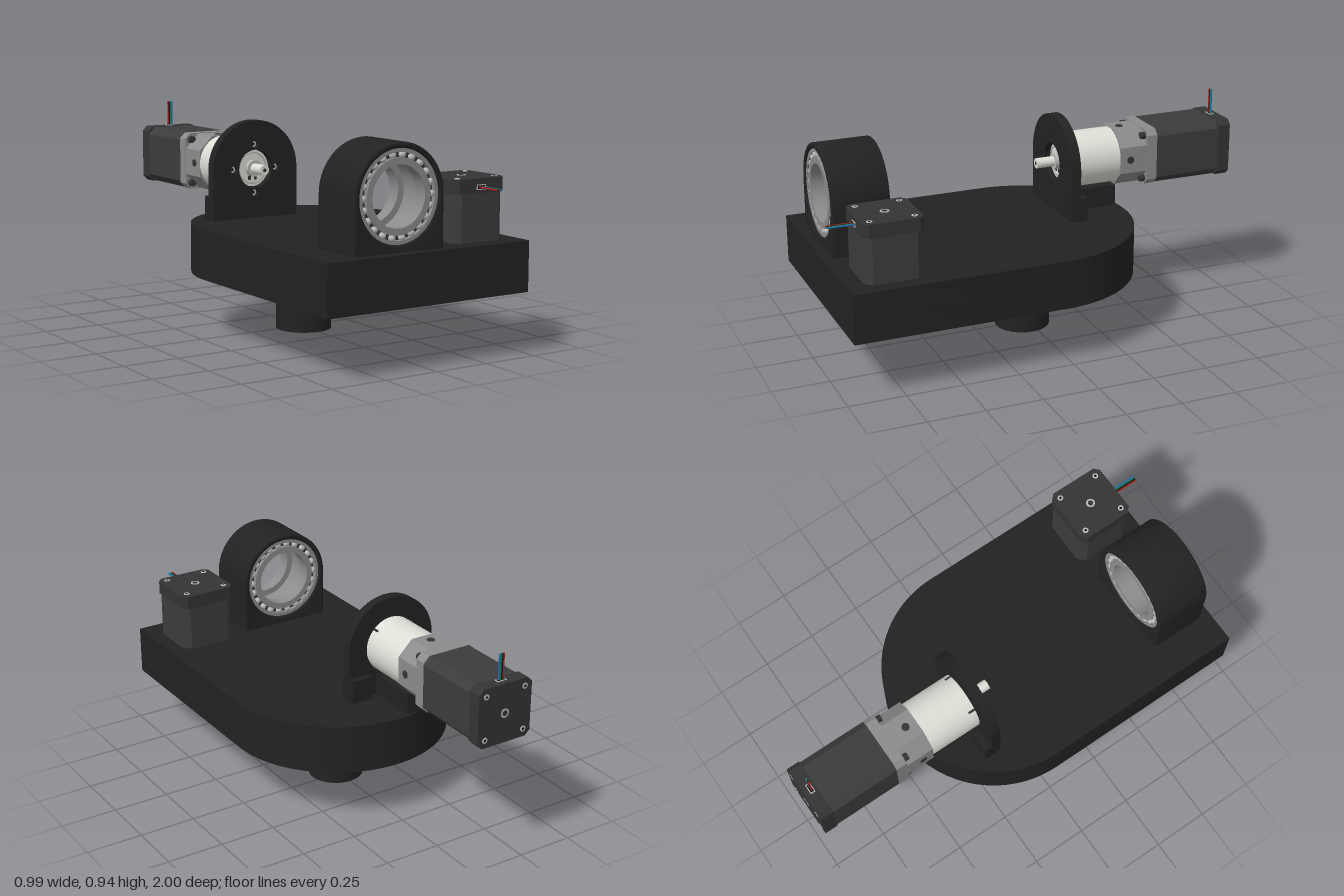
import * as THREE from 'three';
import { toCreasedNormals } from 'three/addons/utils/BufferGeometryUtils.js';

const paint = (color) => new THREE.MeshStandardMaterial({ color });
const black = paint(0x222222), dark = paint(0x3c3c3c), darker = paint(0x343434), hole = paint(0x0c0c0c);
const steel = paint(0x8c8c8c), silver = paint(0xb8b8b8), pale = paint(0xdeddd6);

function add(parent, name, geometry, material, x = 0, y = 0, z = 0) {
  const mesh = new THREE.Mesh(geometry, material);
  mesh.name = name;
  mesh.position.set(x, y, z);
  parent.add(mesh);
  return mesh;
}

const cyl = (r, h, n = 32) => new THREE.CylinderGeometry(r, r, h, n);
const box = (x, y, z) => new THREE.BoxGeometry(x, y, z);

function extrude(shape, depth, bevel = 0) {
  const g = new THREE.ExtrudeGeometry(shape, {
    depth: depth - 2 * bevel, curveSegments: 32, bevelEnabled: bevel > 0,
    bevelSize: bevel, bevelThickness: bevel, bevelOffset: -bevel, bevelSegments: 3,
  });
  g.translate(0, 0, bevel);
  return toCreasedNormals(g, 0.6);
}

// Round-ended outline: straight bottom at y0, half circle of radius r about y = cy
function arch(r, cy, y0, Kind = THREE.Shape) {
  const s = new Kind();
  s.moveTo(-r, y0);
  s.lineTo(r, y0);
  s.lineTo(r, cy);
  s.absarc(0, cy, r, 0, Math.PI, false);
  s.lineTo(-r, y0);
  return s;
}

function punch(shape, x, y, r) {
  const p = new THREE.Path();
  p.absarc(x, y, r, 0, Math.PI * 2, true);
  shape.holes.push(p);
}

// Square prism with cut corners, rising along +y from 0
function prism(size, cut, height) {
  const a = size / 2, b = a - cut;
  const pts = [[b, -a], [a, -b], [a, b], [b, a], [-b, a], [-a, b], [-a, -b], [-b, -a]];
  const s = new THREE.Shape(pts.map(([x, y]) => new THREE.Vector2(x, y)));
  return extrude(s, height).rotateX(-Math.PI / 2);
}

// Ring of rectangular section about the y axis
function ring(r0, r1, h) {
  const p = [[r0, -h / 2], [r1, -h / 2], [r1, h / 2], [r0, h / 2], [r0, -h / 2]];
  return toCreasedNormals(new THREE.LatheGeometry(p.map(([x, y]) => new THREE.Vector2(x, y)), 64), 0.6);
}

const corners = [[1, 1], [1, -1], [-1, 1], [-1, -1]];

// Square motor: output face at y = 0, tail at y = length, cable on +z
function stepper(name, length) {
  const g = new THREE.Group();
  g.name = name;
  const S = 0.26, cap = 0.06;
  add(g, 'motorBody', prism(S - 0.004, 0.032, length - cap), dark);
  add(g, 'motorCap', prism(S, 0.022, cap), darker, 0, length - cap, 0);
  for (const [i, j] of corners) {
    add(g, 'capScrew', cyl(0.013, 0.004, 16), silver, i * 0.095, length, j * 0.095);
    add(g, 'screwSocket', cyl(0.006, 0.005, 6), hole, i * 0.095, length, j * 0.095);
  }
  add(g, 'rearBearing', cyl(0.02, 0.003), silver, 0, length, 0);
  add(g, 'rearShaft', cyl(0.012, 0.004), darker, 0, length, 0);
  add(g, 'connector', box(0.045, 0.022, 0.006), silver, 0, length - 0.035, S / 2);
  add(g, 'connectorSlot', box(0.036, 0.014, 0.007), hole, 0, length - 0.035, S / 2);
  [0xb02020, 0x151515, 0x1f7a4a, 0x1c6fb5].forEach((c, i) => {
    add(g, 'wire', cyl(0.0035, 0.115, 8).rotateX(Math.PI / 2), paint(c),
      -0.0105 + i * 0.007, length - 0.035, S / 2 + 0.0575);
  });
  return g;
}

// Ball bearing with its axis along z
function bearing(name) {
  const g = new THREE.Group();
  g.name = name;
  const w = 0.06;
  add(g, 'outerRace', ring(0.174, 0.191, w), steel);
  add(g, 'innerRace', ring(0.126, 0.154, w), steel);
  add(g, 'cage', ring(0.153, 0.175, w * 0.4), darker);
  for (let i = 0; i < 22; i++) {
    const a = (i / 22) * Math.PI * 2;
    add(g, 'ball', new THREE.SphereGeometry(0.0155, 14, 10), silver, Math.cos(a) * 0.165, w * 0.25, Math.sin(a) * 0.165);
    add(g, 'ball', new THREE.SphereGeometry(0.0155, 14, 10), silver, Math.cos(a) * 0.165, -w * 0.25, Math.sin(a) * 0.165);
  }
  g.rotation.x = Math.PI / 2;
  return g;
}

export function createModel() {
  const model = new THREE.Group();
  const AX = -0.125, AY = 0.695, TOP = 0.475, CEIL = 0.36;

  // Base: solid deck with a rim below it
  const outline = () => arch(0.495, -0.03, -0.96);
  add(model, 'baseDeck', extrude(outline(), TOP - CEIL).rotateX(-Math.PI / 2), black, 0, CEIL, 0);
  const rim = outline();
  rim.holes.push(arch(0.475, -0.03, -0.94, THREE.Path));
  add(model, 'baseRim', extrude(rim, CEIL - 0.26).rotateX(-Math.PI / 2), black, 0, 0.26, 0);
  for (const [x, z] of [[-0.3, 0.7], [-0.3, 0.88], [0.05, 0.7], [0.05, 0.88], [-0.3, -0.2], [0.05, -0.2], [0.3, 0.3], [0.3, -0.15]]) {
    add(model, 'deckHole', cyl(0.014, 0.003, 16), hole, x, CEIL - 0.001, z);
  }

  // Support column under the deck
  add(model, 'column', cyl(0.122, CEIL, 64), black, 0, CEIL / 2, 0.03);
  add(model, 'columnFlange', cyl(0.155, 0.03, 64), black, 0, CEIL - 0.015, 0.03);
  for (let i = 0; i < 5; i++) {
    const a = (i / 5) * Math.PI * 2;
    const r = 0.08;
    add(model, 'columnHole', cyl(0.014, 0.003, 16), hole, Math.cos(a) * r, 0.001, 0.03 + Math.sin(a) * r);
  }

  // Front bearing block
  const block = arch(0.215, AY, TOP - 0.02);
  punch(block, 0, AY, 0.19);
  add(model, 'bearingBlock', extrude(block, 0.255, 0.008), black, AX, 0, 0.66);
  add(model, 'boreSpacer', ring(0.155, 0.192, 0.13).rotateX(Math.PI / 2), steel, AX, AY, 0.7875);
  for (const z of [0.877, 0.698]) {
    const b = bearing('ballBearing');
    b.position.set(AX, AY, z);
    model.add(b);
  }

  // Upright plate for the geared motor, with its feet
  const plate = arch(0.215, AY, TOP - 0.01);
  punch(plate, 0, AY, 0.084);
  for (let i = 0; i < 4; i++) {
    const a = (i * Math.PI) / 2, x = Math.cos(a) * 0.108, y = AY + Math.sin(a) * 0.108;
    punch(plate, x, y, 0.017);
    add(model, 'plateScrew', cyl(0.015, 0.02, 20).rotateX(Math.PI / 2), silver, AX + x, y, -0.2);
    add(model, 'plateScrewSocket', cyl(0.007, 0.021, 6).rotateX(Math.PI / 2), hole, AX + x, y, -0.2);
  }
  add(model, 'motorPlate', extrude(plate, 0.045), black, AX, 0, -0.215);
  for (const s of [-1, 1]) add(model, 'plateFoot', box(0.1, 0.11, 0.04), black, AX + s * 0.165, TOP + 0.05, -0.227);
  add(model, 'motorSupport', box(0.15, 0.1, 0.245), black, AX, TOP + 0.045, -0.3275);

  // Geared motor, built along +y and laid back along -z
  const geared = new THREE.Group();
  geared.name = 'gearedMotor';
  geared.position.set(AX, AY, 0);
  geared.rotation.x = -Math.PI / 2;
  model.add(geared);
  add(geared, 'gearbox', cyl(0.125, 0.235, 64), pale, 0, 0.3325, 0);
  add(geared, 'gearboxPilot', cyl(0.082, 0.02, 48), pale, 0, 0.208, 0);
  add(geared, 'pilotStep', ring(0.066, 0.072, 0.006), silver, 0, 0.197, 0);
  add(geared, 'shaftCollar', cyl(0.036, 0.03), silver, 0, 0.19, 0);
  add(geared, 'outputShaft', cyl(0.023, 0.12), pale, 0, 0.152, 0);
  add(geared, 'shaftCentre', cyl(0.008, 0.002, 16), darker, 0, 0.0915, 0);
  for (const s of [-1, 1]) add(geared, 'pilotPin', box(0.014, 0.004, 0.018), darker, s * 0.015, 0.198, -0.043);
  for (let i = 0; i < 4; i++) {
    const a = Math.PI / 4 + (i * Math.PI) / 2;
    add(geared, 'gearboxNotch', box(0.02, 0.03, 0.02), darker, Math.cos(a) * 0.116, 0.23, Math.sin(a) * 0.116);
  }

  // Adapter between gearbox and motor
  add(geared, 'adapterBody', prism(0.25, 0.065, 0.15), steel, 0, 0.45, 0);
  add(geared, 'adapterFlange', prism(0.256, 0.025, 0.05), steel, 0, 0.58, 0);
  for (const [i, j] of corners) {
    add(geared, 'adapterScrew', cyl(0.016, 0.025, 16), darker, i * 0.1, 0.57, j * 0.1);
  }
  for (let i = 0; i < 4; i++) {
    const a = (i * Math.PI) / 2;
    add(geared, 'clampScrew', cyl(0.017, 0.006, 16).rotateZ(Math.PI / 2).rotateY(-a), darker,
      Math.cos(a) * 0.125, 0.5, Math.sin(a) * 0.125);
  }
  const rear = stepper('rearMotor', 0.37);
  rear.position.y = 0.63;
  geared.add(rear);

  // Upright drive motor whose shaft passes through the deck
  const drive = stepper('driveMotor', 0.26);
  drive.position.set(0.3, TOP, 0.755);
  model.add(drive);
  add(model, 'drivePilot', cyl(0.065, 0.016), darker, 0.3, CEIL - 0.006, 0.755);
  add(model, 'driveShaft', cyl(0.014, 0.15, 24), silver, 0.3, 0.295, 0.755);
  for (const [i, j] of corners) {
    add(model, 'driveScrewHole', cyl(0.012, 0.003, 16), hole, 0.3 + i * 0.095, CEIL - 0.001, 0.755 + j * 0.095);
  }
  return model;
}
